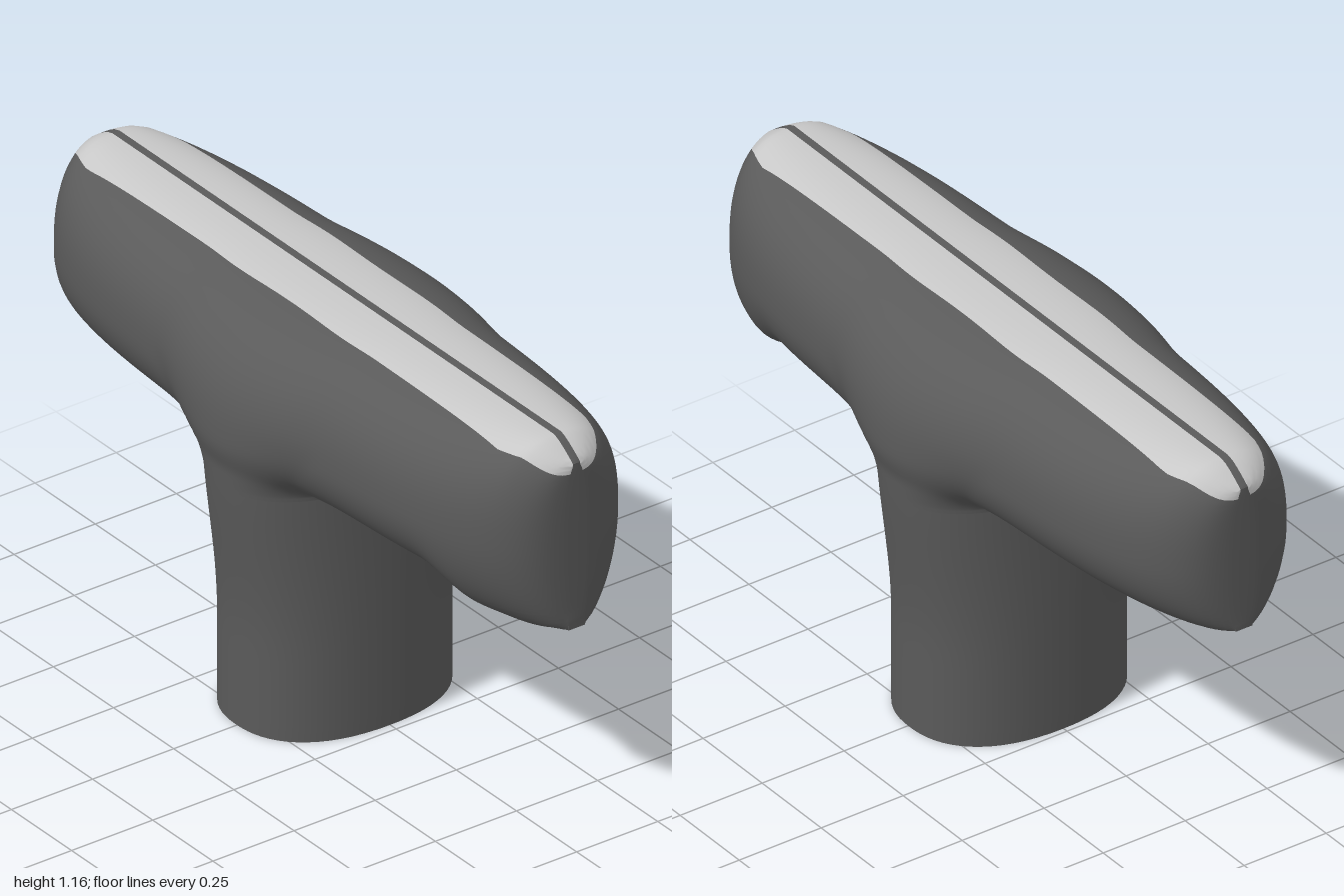
import * as THREE from 'three';
import { toCreasedNormals } from 'three/addons/utils/BufferGeometryUtils.js';

// Main outline of the T-shaped grip
const ARM_Y = 0.7, TOE_Y = 0.643, TOE_X = 0.73, TOP_Y = 1.165;
const STEM_L = -0.235, STEM_R = 0.225, STEM_C = -0.005, STEM_HALF = 0.23;
const N = 2.5;

const step = THREE.MathUtils.smoothstep;
const round = (u, n) => Math.pow(Math.max(0, 1 - Math.pow(Math.min(1, Math.abs(u)), n)), 1 / n);
const smoothMax = (a, b, k) => Math.max(a, b) + Math.pow(Math.max(k - Math.abs(a - b), 0), 2) / (4 * k);

// Plan half width, widest height and upper edge along the crossbar
const bell = (x) => Math.exp(-Math.pow(x / 0.2, 2));
const plan = (x) => Math.max(0.03, 0.31 * round(x, 3) + 0.06 * bell(x));
const middle = (x) => 0.9 - 0.06 * bell(x);
const topY = (x) => TOP_Y - 0.05 * Math.pow(Math.max(0, Math.abs(x) - 0.92) / 0.08, 1.3);

// Lower edge of the pale pad on the crown
function padY(x) {
  const r = Math.min(0.135 / plan(x), 0.6);
  return middle(x) + (topY(x) - middle(x)) * Math.pow(1 - Math.pow(r, N), 1 / N);
}

// Half thickness of the grip at any point of its front outline
function depth(x, y) {
  const mid = middle(x);
  const crown = y > mid ? round((y - mid) / (topY(x) - mid), N) : 1;
  const low = ARM_Y - 0.057 * step(x, 0.64, 0.8);
  let arm = plan(x) * crown;
  if (y < mid) {
    const belly = 0.3 + 0.7 * round((mid - y) / (mid - low), 2);
    arm = plan(x) * belly * step(y, low - 0.15, low);
  }
  const half = STEM_HALF + 0.25 * step(y, ARM_Y, 0.95);
  const stem = (0.305 + 0.055 * step(y, 0.25, 0.85)) * round((x - STEM_C) / half, 2.3) * crown;
  return Math.max(y > mid ? 0.011 : 0.025, smoothMax(arm, stem, 0.04 * crown + 1e-4));
}

// Samples from a to b, packed towards the chosen ends
function samples(a, b, n, packStart = true, packEnd = true) {
  return Array.from({ length: n + 1 }, (_, i) => {
    const t = i / n;
    let e = t;
    if (packStart && packEnd) e = (1 - Math.cos(Math.PI * t)) / 2;
    else if (packStart) e = 1 - Math.cos(Math.PI * t / 2);
    else if (packEnd) e = Math.sin(Math.PI * t / 2);
    return a + (b - a) * e;
  });
}

export function createModel() {
  const charcoal = new THREE.MeshStandardMaterial({ color: 0x5a5a5a });
  charcoal.name = 'charcoal';
  const paleGrey = new THREE.MeshStandardMaterial({ color: 0xc8c8c8 });
  paleGrey.name = 'paleGrey';

  const dark = [], pale = [];
  const front = (p) => [p[0], p[1], depth(p[0], p[1])];
  const back = (p) => [p[0], p[1], -depth(p[0], p[1])];
  const quad = (out, a, b, c, d) => out.push(...a, ...b, ...c, ...a, ...c, ...d);

  // Front and back skins over a patch of rows
  function skin(out, rows) {
    for (let j = 0; j + 1 < rows.length; j++) {
      for (let i = 0; i + 1 < rows[j].length; i++) {
        const p = [rows[j][i], rows[j][i + 1], rows[j + 1][i + 1], rows[j + 1][i]];
        quad(out, ...p.map(front));
        quad(out, ...p.map(back).reverse());
      }
    }
  }
  // Narrow wall joining both skins, path runs anticlockwise seen from the front
  function wall(path) {
    for (let i = 0; i + 1 < path.length; i++) {
      const p = path[i], q = path[i + 1];
      quad(dark, front(p), back(p), back(q), front(q));
    }
  }
  const edge = (rows, i) => rows.map((r) => r.at(i));

  // Shared columns keep the patches joined
  const leftX = samples(-1, STEM_L, 32);
  const stemX = samples(STEM_L, STEM_R, 32);
  const rightX = samples(STEM_R, TOE_X, 24);
  const toeX = samples(TOE_X, 1, 20, false, true);
  const armX = [...leftX, ...stemX.slice(1), ...rightX.slice(1), ...toeX.slice(1)];

  const stem = samples(0, ARM_Y, 24, false, true).map((y) => stemX.map((x) => [x, y]));
  const toe = samples(TOE_Y, ARM_Y, 4, false, false).map((y) => toeX.map((x) => [x, y]));
  const bar = samples(0, 1, 32, true, true).map((t) =>
    armX.map((x) => [x, ARM_Y + (padY(x) - ARM_Y) * t]));
  const pad = samples(0, 1, 10, false, true).map((t) =>
    armX.map((x) => [x, padY(x) + (topY(x) - padY(x)) * t]));

  skin(dark, stem);
  skin(dark, toe);
  skin(dark, bar);
  skin(pale, pad);

  // Stem foot and sides
  wall(stem[0]);
  wall(edge(stem, -1));
  wall(edge(stem, 0).reverse());
  // Underside of the crossbar and the toe
  wall(leftX.map((x) => [x, ARM_Y]));
  wall(rightX.map((x) => [x, ARM_Y]));
  wall(edge(toe, 0).reverse());
  wall(toe[0]);
  wall(edge(toe, -1));
  // Ends and the dark seam along the crown
  for (const rows of [bar, pad]) {
    wall(edge(rows, -1));
    wall(edge(rows, 0).reverse());
  }
  wall([...pad.at(-1)].reverse());

  let geometry = new THREE.BufferGeometry();
  geometry.setAttribute('position', new THREE.Float32BufferAttribute(dark.concat(pale), 3));
  geometry = toCreasedNormals(geometry, 0.75);
  geometry.clearGroups();
  geometry.addGroup(0, dark.length / 3, 0);
  geometry.addGroup(dark.length / 3, pale.length / 3, 1);

  const grip = new THREE.Mesh(geometry, [charcoal, paleGrey]);
  grip.name = 'gripWithPaleCrown';
  const group = new THREE.Group();
  group.name = 'crossbarHandle';
  group.add(grip);
  return group;
}
